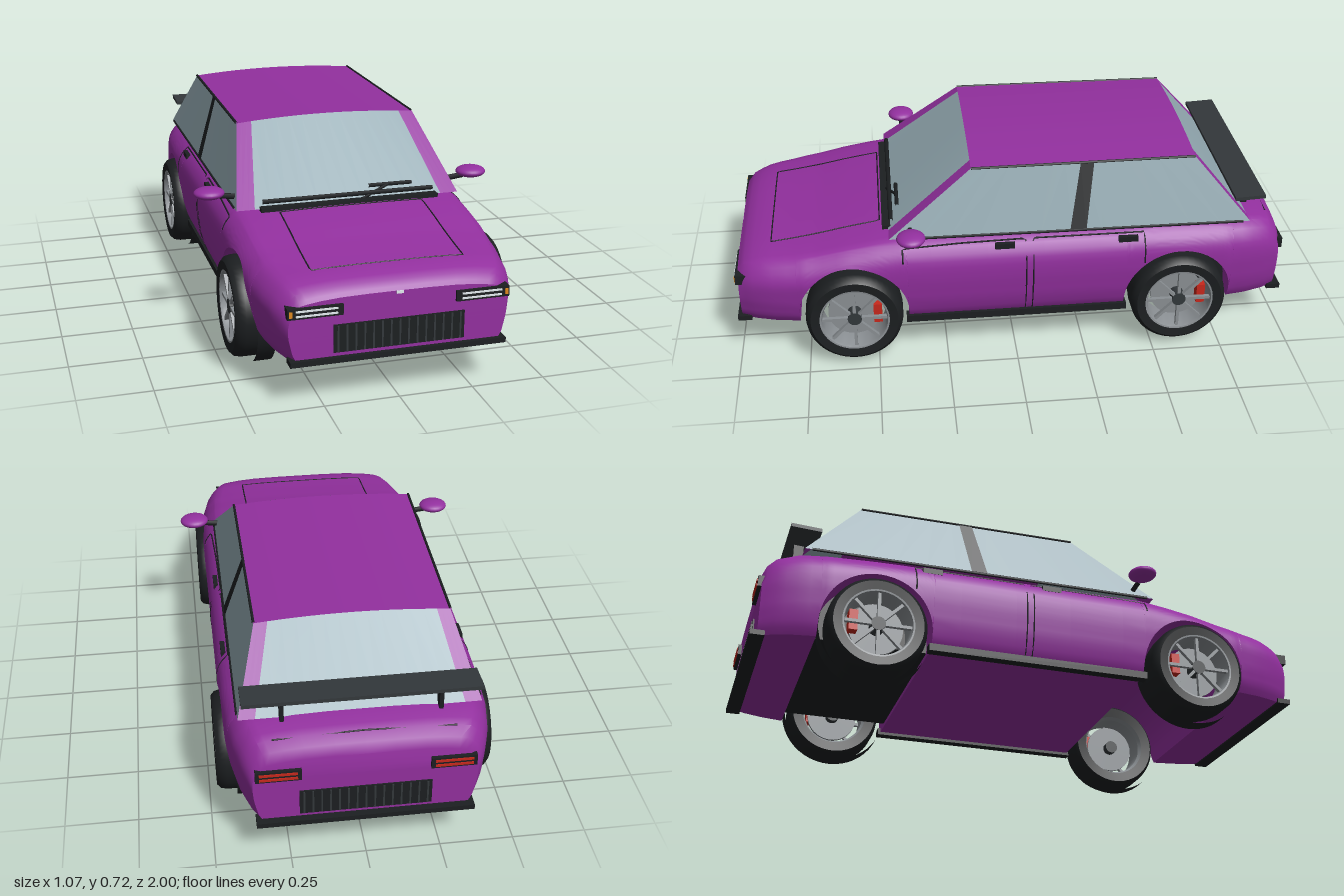
import * as THREE from 'three';
import { toCreasedNormals } from 'three/addons/utils/BufferGeometryUtils.js';

const mat = (color, side = THREE.FrontSide) => new THREE.MeshStandardMaterial({ color, side });
const PAINT = mat(0x93309f), PAINT2 = mat(0x93309f, THREE.DoubleSide);
const GLASS = mat(0x93a9b1, THREE.DoubleSide);
const BLACK = mat(0x1c1f21), BLACK2 = mat(0x1c1f21, THREE.DoubleSide), TRIM = mat(0x33383b);
const METAL = mat(0x8b9094, THREE.DoubleSide), WHITE = mat(0xe4ecf0), RED = mat(0xc8281c), ORANGE = mat(0xe08a1e);
const AXLES = [0.58, -0.59], WHEEL_Y = 0.193, ARCH = 0.195;

// Piecewise linear lookup in a list of [key, value], keys ascending
function lookup(table, k) {
  if (k <= table[0][0]) return table[0][1];
  for (let i = 1; i < table.length; i++) {
    const [k0, v0] = table[i - 1], [k1, v1] = table[i];
    if (k <= k1) return v0 + (v1 - v0) * (k - k0) / (k1 - k0);
  }
  return table[table.length - 1][1];
}

// Body outline: top height and half width along z, side bulge over y
const topY = z => lookup([[-0.975, 0.4], [-0.96, 0.435], [-0.93, 0.46], [-0.85, 0.478], [-0.5, 0.485], [0.4, 0.485],
  [0.5, 0.472], [0.6, 0.455], [0.7, 0.435], [0.8, 0.42], [0.9, 0.408], [0.96, 0.388], [0.985, 0.36]], z);
const halfW = z => lookup([[-0.975, 0.372], [-0.93, 0.398], [-0.86, 0.422], [-0.76, 0.44], [-0.6, 0.448], [0.6, 0.448],
  [0.75, 0.438], [0.86, 0.42], [0.93, 0.398], [0.985, 0.37]], z);
const bulge = y => lookup([[0.15, 0.9], [0.18, 0.945], [0.24, 0.98], [0.32, 1], [0.45, 1]], y);
const CROWN = 0.018;
const sideX = (y, z) => {
  const u = THREE.MathUtils.clamp((y - (topY(z) - CROWN - 0.12)) / 0.12, 0, 1);
  return halfW(z) * bulge(y) * (1 - 0.13 * u ** 3);
};
const deckY = (x, z) => topY(z) - CROWN * Math.abs(x / sideX(topY(z) - CROWN, z)) ** 4;

function bodyGeometry() {
  // Stations [z, bottom height] from front to back, following the arches
  const stations = [0.985, 0.975, 0.96, 0.93, 0.9, 0.86, 0.81].map(z => [z, 0.15]);
  for (const c of AXLES) {
    stations.push([c + ARCH, 0.15]);
    for (let i = 0; i <= 24; i++) {
      const a = Math.PI * i / 24;
      stations.push([c + ARCH * Math.cos(a), WHEEL_Y + ARCH * Math.sin(a)]);
    }
    stations.push([c - ARCH, 0.15]);
    if (c > 0) for (const z of [0.3, 0.1, -0.1, -0.3]) stations.push([z, 0.15]);
  }
  for (const z of [-0.82, -0.86, -0.9, -0.93, -0.96, -0.975]) stations.push([z, 0.15]);
  const pos = [], idx = [];
  let n = 0;
  for (const [z, bottom] of stations) {
    const half = [], yE = topY(z) - CROWN;
    for (let i = 0; i <= 14; i++) {
      const y = bottom + (yE - bottom) * i / 14;
      half.push([sideX(y, z), y]);
    }
    const xE = sideX(yE, z);
    for (const s of [0.93, 0.8, 0.6, 0.3]) half.push([xE * s, deckY(xE * s, z)]);
    const ring = [...half, [0, topY(z)], ...half.slice().reverse().map(([x, y]) => [-x, y])];
    n = ring.length;
    for (const [x, y] of ring) pos.push(x, y, z);
  }
  const last = (stations.length - 1) * n;
  for (let i = 0; i < last; i += n) for (let j = 0; j < n; j++) {
    const k = (j + 1) % n;
    idx.push(i + j, i + n + j, i + k, i + k, i + n + j, i + n + k);
  }
  // Nose and tail faces
  for (let j = 0; j < (n - 1) / 2; j++) {
    const a = j, b = j + 1, c = n - 1 - j, d = n - 2 - j;
    idx.push(a, b, c, b, d, c);
    idx.push(last + a, last + c, last + b, last + b, last + c, last + d);
  }
  const g = new THREE.BufferGeometry();
  g.setAttribute('position', new THREE.Float32BufferAttribute(pos, 3));
  g.setIndex(idx);
  return toCreasedNormals(g, 0.6);
}

// Surface ruled between two curves p(s) and q(s), s from s0 to s1
function ruled(p, q, s0, s1, n = 12) {
  const pos = [], idx = [];
  for (let i = 0; i <= n; i++) {
    const s = s0 + (s1 - s0) * i / n;
    pos.push(...p(s), ...q(s));
    if (i < n) idx.push(2 * i, 2 * i + 2, 2 * i + 1, 2 * i + 1, 2 * i + 2, 2 * i + 3);
  }
  const g = new THREE.BufferGeometry();
  g.setAttribute('position', new THREE.Float32BufferAttribute(pos, 3));
  g.setIndex(idx);
  g.computeVertexNormals();
  return g;
}

export function createModel() {
  const model = new THREE.Group();
  const add = (name, geo, material, parent = model) => {
    const m = new THREE.Mesh(geo, material);
    m.name = name;
    parent.add(m);
    return m;
  };
  const box = (name, material, w, h, d, x, y, z, parent) => {
    const m = add(name, new THREE.BoxGeometry(w, h, d), material, parent);
    m.position.set(x, y, z);
    return m;
  };
  const rod = (name, pts, r, material = BLACK) => {
    const path = new THREE.CurvePath();
    const v = pts.map(p => new THREE.Vector3(...p));
    for (let i = 1; i < v.length; i++) path.add(new THREE.LineCurve3(v[i - 1], v[i]));
    return add(name, new THREE.TubeGeometry(path, (v.length - 1) * 4, r, 6), material);
  };

  add('body', bodyGeometry(), PAINT);

  // Cabin: bowed windscreen, roof and rear window, flat sides
  const screenLow = s => [0.402 * s, 0.478, 0.445], screenTop = s => [0.332 * s, 0.722 - 0.016 * s * s, 0.15];
  const rearTop = s => [0.325 * s, 0.722 - 0.016 * s * s, -0.645], rearLow = s => [0.4 * s, 0.472, -0.845];
  add('windscreen', ruled(screenLow, screenTop, -0.84, 0.84), GLASS);
  add('roof', ruled(screenTop, rearTop, -1, 1), PAINT2);
  add('rearWindow', ruled(rearTop, rearLow, -0.86, 0.86), GLASS);
  const mix = (a, b, t) => a.map((v, i) => v + (b[i] - v) * t);
  for (const s of [1, -1]) {
    add('windscreenPillar', ruled(screenLow, screenTop, s * 0.84, s, 3), PAINT2);
    add('rearPillar', ruled(rearTop, rearLow, s * 0.86, s, 3), PAINT2);
    const low = t => mix(screenLow(s), rearLow(s), t), top = t => mix(screenTop(s), rearTop(s), t);
    add('sideWindow', ruled(low, top, 0, 1), GLASS);
    const out = f => t => { const p = f(t); return [p[0] + s * 0.003, p[1], p[2]]; };
    add('doorPillar', ruled(out(t => low(0.495 + t * 0.045)), out(t => top(0.485 + t * 0.06)), 0, 1, 1), BLACK2);
    rod('roofEdge', [screenTop(s), rearTop(s)], 0.005);
    rod('windowSeal', [low(0.02), low(0.98)], 0.005);

    // Doors, handles and sills
    const onSide = (y, z) => [s * (sideX(y, z) - 0.0005), y, z];
    const drop = (z, y0, y1) => [0, 1, 2, 3, 4, 5].map(i => onSide(y0 + (y1 - y0) * i / 5, z));
    rod('frontDoorGap', [...drop(0.4, 0.4, 0.445), onSide(0.452, 0.2), ...drop(-0.035, 0.455, 0.17)], 0.003);
    rod('rearDoorGap', [...drop(-0.06, 0.17, 0.455), onSide(0.455, -0.3), ...drop(-0.46, 0.455, 0.35)], 0.003);
    for (const z of [0.04, -0.4]) box('doorHandle', BLACK, 0.016, 0.02, 0.07, s * sideX(0.44, z), 0.44, z);
    box('sill', BLACK, 0.035, 0.026, 0.8, s * 0.408, 0.152, -0.005);

    // Mirror
    const mirror = add('mirror', new THREE.SphereGeometry(1, 24, 16), PAINT);
    mirror.scale.set(0.054, 0.021, 0.05);
    mirror.position.set(s * 0.481, 0.527, 0.37);
    rod('mirrorArm', [[s * 0.385, 0.507, 0.37], [s * 0.45, 0.515, 0.37]], 0.01);

    // Lamps
    box('headlampHousing', BLACK, 0.18, 0.036, 0.04, s * 0.277, 0.321, 0.974);
    for (const y of [0.313, 0.329]) box('headlampStrip', WHITE, 0.135, 0.006, 0.01, s * 0.273, y, 0.992);
    box('indicator', ORANGE, 0.01, 0.02, 0.01, s * 0.357, 0.321, 0.992);
    box('tailLampHousing', BLACK, 0.15, 0.04, 0.04, s * 0.285, 0.345, -0.968);
    for (const y of [0.336, 0.354]) box('tailLampStrip', RED, 0.125, 0.009, 0.01, s * 0.285, y, -0.986);

    box('spoilerStrut', BLACK, 0.014, 0.09, 0.035, s * 0.26, 0.515, -0.85);
  }

  // Bonnet seam laid on the deck
  const seam = [], corners = [[-0.257, 0.475], [0.257, 0.475], [0.257, 0.865], [-0.257, 0.865], [-0.257, 0.475]];
  for (let i = 0; i < 4; i++) for (let k = 0; k < 6; k++) {
    const [x, z] = mix(corners[i], corners[i + 1], k / 6);
    seam.push([x, deckY(x, z), z]);
  }
  rod('bonnetSeam', [...seam, seam[0]], 0.0025);
  rod('bootSeam', [[-0.3, deckY(0.3, -0.93), -0.93], [0, deckY(0, -0.93), -0.93], [0.3, deckY(0.3, -0.93), -0.93]], 0.003);

  // Cowl and wipers
  box('cowl', BLACK, 0.64, 0.014, 0.03, 0, 0.479, 0.452);
  rod('longWiper', [[-0.31, 0.5, 0.435], [0.31, 0.5, 0.435]], 0.008);
  rod('shortWiper', [[0.08, 0.518, 0.41], [0.24, 0.518, 0.41]], 0.007);
  rod('wiperArm', [[0.05, 0.485, 0.445], [0.16, 0.522, 0.412]], 0.005);

  // Grilles, lips and nose plate
  for (const [name, z, d] of [['frontGrille', 0.978, 1], ['rearGrille', -0.968, -1]]) {
    box(name, BLACK, 0.435, 0.094, 0.024, 0, 0.222, z);
    for (let i = 0; i < 15; i++) box(name + 'Slat', TRIM, 0.006, 0.088, 0.006, -0.203 + i * 0.029, 0.222, z + d * 0.013);
  }
  box('frontLip', BLACK, 0.72, 0.018, 0.05, 0, 0.153, 0.975);
  box('rearLip', BLACK, 0.72, 0.018, 0.05, 0, 0.153, -0.975);
  box('nosePlate', WHITE, 0.024, 0.01, 0.01, 0, 0.355, 0.982);

  // Rear wing and rear underbody
  box('spoiler', TRIM, 0.78, 0.013, 0.108, 0, 0.56, -0.842).rotation.x = 0.05;
  box('rearUnderbody', BLACK, 0.68, 0.22, 0.4, 0, 0.275, -0.59);

  // Wheels, with the outer face toward +x before mirroring
  const lathe = pts => new THREE.LatheGeometry(pts.map(p => new THREE.Vector2(...p)), 48).rotateZ(-Math.PI / 2);
  const tyreGeo = toCreasedNormals(lathe([[0.123, -0.06], [0.16, -0.065], [0.17, -0.052], [0.173, -0.03], [0.173, 0.03],
    [0.168, 0.052], [0.155, 0.064], [0.123, 0.06]]), 0.7);
  const rimGeo = toCreasedNormals(lathe([[0.123, -0.06], [0.114, -0.045], [0.114, 0.05], [0.118, 0.06], [0.124, 0.061]]), 0.5);
  const disc = (r, w) => new THREE.CylinderGeometry(r, r, w, 40).rotateZ(Math.PI / 2);
  for (const z of AXLES) for (const s of [1, -1]) {
    const wheel = new THREE.Group();
    wheel.name = z > 0 ? 'frontWheel' : 'rearWheel';
    wheel.position.set(s * 0.41, WHEEL_Y, z);
    wheel.scale.x = s;
    model.add(wheel);
    add('tyre', tyreGeo, BLACK2, wheel);
    add('rim', rimGeo, METAL, wheel);
    add('brakeDisc', disc(0.094, 0.012), METAL, wheel);
    add('hub', disc(0.025, 0.09), TRIM, wheel).position.x = 0.01;
    box('caliper', RED, 0.04, 0.075, 0.03, 0.02, 0.01, -0.083, wheel);
    for (let i = 0; i < 8; i++) {
      const spoke = add('spoke', new THREE.BoxGeometry(0.014, 0.1, 0.011).translate(0, 0.067, 0), METAL, wheel);
      spoke.position.x = 0.046;
      spoke.rotation.x = i * Math.PI / 4;
    }
    // Open arch liner around the inner part of the wheel
    const liner = new THREE.CylinderGeometry(0.193, 0.193, 0.062, 48, 1, true).rotateZ(Math.PI / 2);
    add('archLiner', liner, BLACK, wheel).position.x = -0.034;
  }
  return model;
}
